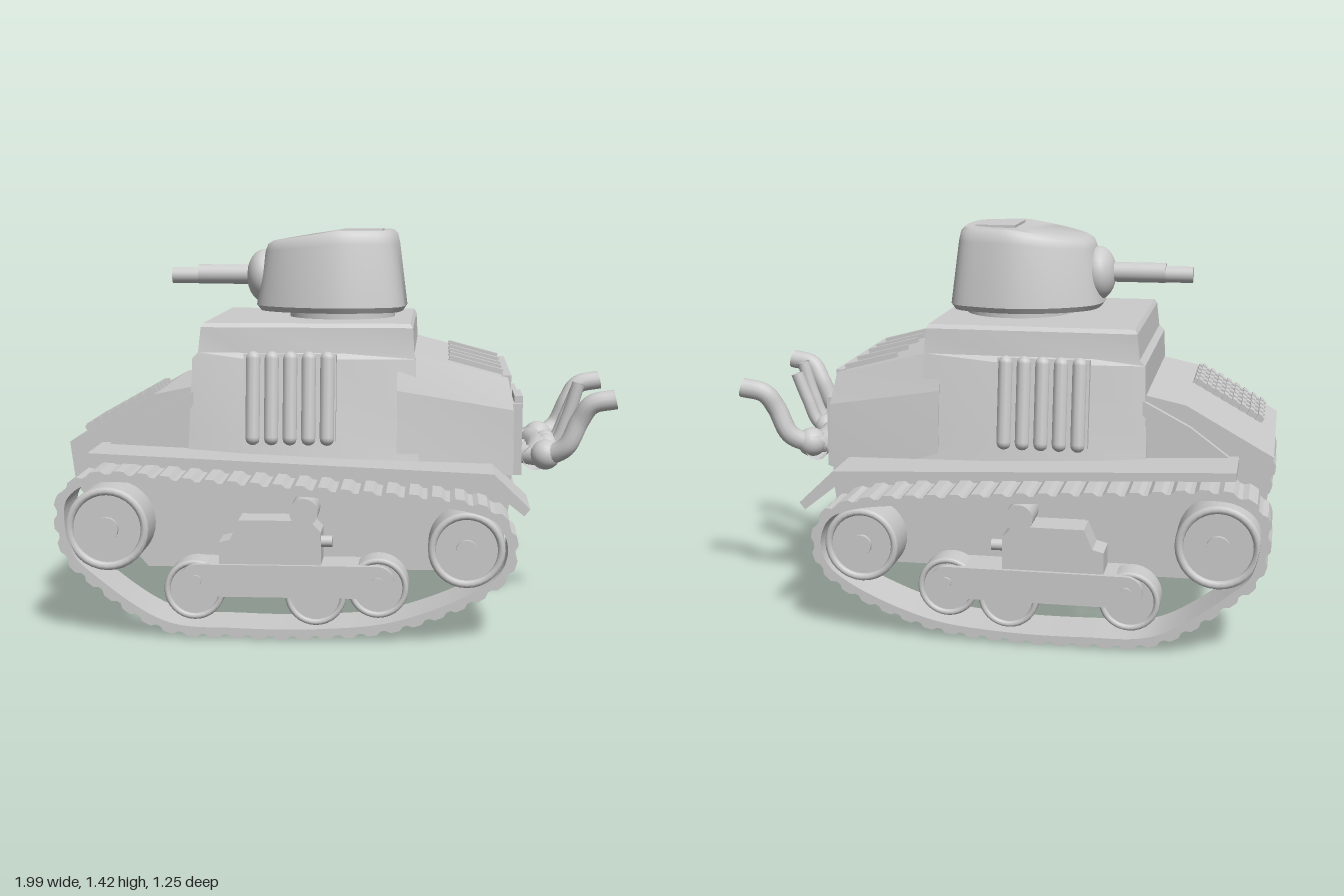
import * as THREE from 'three';
import { toCreasedNormals } from 'three/addons/utils/BufferGeometryUtils.js';

const mat = new THREE.MeshStandardMaterial({ color: 0xcccccc });
const openMat = new THREE.MeshStandardMaterial({ color: 0xcccccc, side: THREE.DoubleSide });
const V = (x, y, z) => new THREE.Vector3(x, y, z);

function add(parent, name, geo, x = 0, y = 0, z = 0, material = mat) {
  const m = new THREE.Mesh(geo, material);
  m.name = name;
  m.position.set(x, y, z);
  parent.add(m);
  return m;
}

// Side profile (x, y) extruded from z0 to z1
function prism(points, z0, z1, hole) {
  const shape = new THREE.Shape(points.map(p => new THREE.Vector2(...p)));
  if (hole) shape.holes.push(new THREE.Path(hole.map(p => new THREE.Vector2(...p))));
  const g = new THREE.ExtrudeGeometry(shape, { depth: z1 - z0, bevelEnabled: false });
  return g.translate(0, 0, z0);
}

// Skin over stacked rings (counterclockwise from above), closed at both ends
function loft(rings, crease = 0.6) {
  const n = rings[0].length, pos = [], index = [];
  rings.forEach(r => r.forEach(p => pos.push(p.x, p.y, p.z)));
  for (let k = 0; k < rings.length - 1; k++) for (let i = 0; i < n; i++) {
    const a = k * n + i, b = k * n + (i + 1) % n;
    index.push(a, b, a + n, b, b + n, a + n);
  }
  [rings[0], rings.at(-1)].forEach((r, e) => {
    const c = r.reduce((s, p) => s.add(p), V(0, 0, 0)).divideScalar(n);
    const ci = pos.length / 3, o = e ? (rings.length - 1) * n : 0;
    pos.push(c.x, c.y, c.z);
    for (let i = 0; i < n; i++) {
      const a = o + i, b = o + (i + 1) % n;
      index.push(...(e ? [ci, a, b] : [ci, b, a]));
    }
  });
  const g = new THREE.BufferGeometry();
  g.setAttribute('position', new THREE.Float32BufferAttribute(pos, 3));
  g.setIndex(index);
  return toCreasedNormals(g, crease);
}

// Ring symmetric in z from [x, y, halfWidth] points listed back to front
const ring = pts => [...pts.map(([x, y, w]) => V(x, y, -w)), ...pts.map(([x, y, w]) => V(x, y, w)).reverse()];
const discZ = (r, d, seg = 32) => new THREE.CylinderGeometry(r, r, d, seg).rotateX(Math.PI / 2);
const rodX = (r, d) => new THREE.CylinderGeometry(r, r, d, 20).rotateZ(Math.PI / 2);
const tube = (pts, r) =>
  new THREE.TubeGeometry(new THREE.CatmullRomCurve3(pts.map(p => V(...p))), 32, r, 12);

function buildHull(g) {
  add(g, 'hull', prism([[-0.99, 0.66], [-0.97, 0.5], [-0.71, 0.2], [0.57, 0.2], [0.61, 0.5], [0.61, 0.62],
    [0.2, 0.62], [-0.5, 0.62], [-0.54, 0.865], [-0.68, 0.835]], -0.39, 0.38));

  // Casemate walls lean in and bulge outwards amidships
  const wall = (y, front, back, end, mid) =>
    ring([[back, y, end], [0, y, mid], [-0.35, y, mid], [front, y, end]]);
  add(g, 'casemate', loft([wall(0.6, -0.55, 0.28, 0.445, 0.475), wall(0.7, -0.545, 0.275, 0.425, 0.455),
    wall(0.97, -0.535, 0.265, 0.395, 0.41), wall(0.99, -0.515, 0.26, 0.39, 0.395),
    wall(1.08, -0.505, 0.255, 0.385, 0.385), wall(1.095, -0.495, 0.245, 0.375, 0.375)], 0.3));

  // Engine deck with sloping shoulders
  add(g, 'engineDeck', loft([ring([[0.615, 0.56, 0.41], [0.2, 0.56, 0.455]]),
    ring([[0.615, 0.79, 0.395], [0.2, 0.86, 0.42]]), ring([[0.595, 0.9, 0.365], [0.2, 1.005, 0.385]])], 0.1));

  for (const s of [1, -1]) {
    const side = new THREE.Group();
    side.name = s > 0 ? 'leftSide' : 'rightSide';
    g.add(side);
    const slab = (name, pts, a, b) =>
      add(side, name, prism(pts, Math.min(a * s, b * s), Math.max(a * s, b * s)));
    slab('frontCheek', [[-0.86, 0.64], [-0.53, 0.62], [-0.53, 0.85], [-0.7, 0.76]], 0.36, 0.415);
    slab('fender', [[-0.87, 0.63], [0.5, 0.57], [0.645, 0.455], [0.665, 0.48], [0.54, 0.6], [-0.87, 0.66]], 0.37, 0.625);
    // Upright ribs leaning with the casemate wall
    for (let i = 0; i < 5; i++) {
      const rib = add(side, 'sideRib', new THREE.CapsuleGeometry(0.027, 0.28, 4, 10),
        -0.31 + i * 0.066, 0.835, 0.455 * s);
      rib.rotation.x = -0.15 * s;
    }
    const backing = add(side, 'ribBacking', new THREE.BoxGeometry(0.33, 0.31, 0.05), -0.18, 0.835, 0.435 * s);
    backing.rotation.x = -0.15 * s;
  }

  // Toothed grille strips on the sloping nose plate
  const grille = new THREE.Group();
  grille.name = 'noseGrille';
  grille.position.set(-0.81, 0.768, 0.17);
  grille.rotation.z = 0.51;
  g.add(grille);
  for (let i = 0; i < 5; i++) {
    const z = (i - 2) * 0.068;
    add(grille, 'grilleStrip', new THREE.BoxGeometry(0.3, 0.03, 0.03), 0, 0, z);
    for (let k = 0; k < 8; k++)
      add(grille, 'grilleTooth', new THREE.BoxGeometry(0.018, 0.04, 0.045), -0.13 + k * 0.037, 0, z);
  }

  // Rear deck ridges and rear plate
  for (const z of [-0.3, -0.14, 0.02, 0.13, 0.27]) {
    const rib = add(g, 'deckRidge', new THREE.BoxGeometry(0.2, 0.03, 0.025), 0.48, 0.934, z);
    rib.rotation.z = -0.26;
  }
  add(g, 'deckEdge', new THREE.BoxGeometry(0.03, 0.05, 0.66), 0.592, 0.883, 0);
  add(g, 'rearPlate', new THREE.BoxGeometry(0.06, 0.26, 0.62), 0.62, 0.67, -0.01);
  add(g, 'rearHatch', new THREE.BoxGeometry(0.03, 0.13, 0.2), 0.638, 0.76, 0.17);
  add(g, 'rearLip', new THREE.BoxGeometry(0.04, 0.03, 0.78), 0.6, 0.505, 0);
}

function buildExhaust(g) {
  const ex = new THREE.Group();
  ex.name = 'exhaust';
  g.add(ex);
  add(ex, 'manifold', tube([[0.7, 0.59, 0.24], [0.72, 0.61, 0.1], [0.71, 0.6, -0.1], [0.71, 0.59, -0.28]], 0.045), 0, 0, 0, openMat);
  for (const s of [1, -1]) {
    add(ex, 'mainPipe', tube([[0.64, 0.6, 0.17 * s], [0.73, 0.6, 0.23 * s], [0.81, 0.64, 0.275 * s],
      [0.86, 0.74, 0.28 * s], [0.9, 0.8, 0.295 * s], [0.985, 0.82, 0.3 * s]], 0.036), 0, 0, 0, openMat);
    add(ex, 'pipeElbow', new THREE.SphereGeometry(0.055, 20, 14), 0.74, 0.605, 0.235 * s);
  }
  for (const [z, top] of [[0.08, 0.85], [0, 0.82]]) {
    add(ex, 'smallPipe', tube([[0.67, 0.6, z * 0.8], [0.78, 0.62, z], [0.83, 0.72, z], [0.87, top, z]], 0.024), 0, 0, 0, openMat);
    add(ex, 'smallElbow', new THREE.SphereGeometry(0.045, 16, 12), 0.755, 0.615, z);
  }
}

function buildTurret(g) {
  const t = new THREE.Group();
  t.name = 'turret';
  g.add(t);
  add(t, 'turretRing', new THREE.CylinderGeometry(0.2, 0.2, 0.06, 40), -0.02, 1.11, 0);
  // Plan outline: broad rounded back, tapering to a blunt nose
  const half = [[0.22, -0.1], [0.19, -0.2], [0.1, -0.245], [-0.04, -0.268], [-0.2, -0.225], [-0.31, -0.14], [-0.34, -0.06]];
  const outline = [...half, ...half.map(([x, z]) => [x, -z]).reverse()];
  const plan = new THREE.CatmullRomCurve3(outline.map(([x, z]) => V(x, 0, z)), true).getPoints(56).slice(0, -1);
  const level = (y, s, slope) => plan.map(p => {
    const x = -0.03 + (p.x + 0.03) * s;
    return V(x, y - slope * Math.max(0, -x - 0.02), p.z * s);
  });
  add(t, 'turretShell', loft([level(1.12, 0.95, 0), level(1.14, 1, 0), level(1.37, 0.89, 0.1),
    level(1.405, 0.86, 0.14), level(1.42, 0.8, 0.16)], 0.7));
  add(t, 'roofHatch', new THREE.BoxGeometry(0.15, 0.01, 0.22), 0.06, 1.418, 0.03);
  const mantlet = add(t, 'mantlet', new THREE.SphereGeometry(0.1, 24, 16), -0.32, 1.245, -0.01);
  mantlet.scale.set(0.65, 1, 1);
  add(t, 'gunSleeve', rodX(0.037, 0.22), -0.46, 1.25, -0.01);
  add(t, 'gunBarrel', rodX(0.03, 0.2), -0.57, 1.245, -0.01);
}

function buildRunningGear(g, s) {
  const gear = new THREE.Group();
  gear.name = s > 0 ? 'leftRunningGear' : 'rightRunningGear';
  g.add(gear);
  const zc = 0.525 * s;

  // Track band with raised cleats
  const path = [[-0.96, 0.5], [-0.97, 0.4], [-0.94, 0.29], [-0.87, 0.22], [-0.61, 0.05], [-0.35, 0.028], [-0.05, 0.03],
    [0.2, 0.06], [0.48, 0.17], [0.58, 0.25], [0.605, 0.34], [0.57, 0.43], [0.48, 0.475], [0, 0.52], [-0.5, 0.55], [-0.87, 0.565]];
  const pts = new THREE.CatmullRomCurve3(path.map(p => V(...p, 0)), true, 'centripetal').getSpacedPoints(230).slice(0, -1);
  const offset = d => pts.map((p, i) => {
    const a = pts.at(i - 1), b = pts[(i + 1) % pts.length];
    const t = b.clone().sub(a).normalize();
    return [p.x + t.y * d(i), p.y - t.x * d(i)];
  });
  add(gear, 'track', prism(offset(i => (i % 5 < 3 ? 0.023 : 0.011)), zc - 0.1, zc + 0.1, offset(() => -0.014)));

  const wheel = (name, x, y, r, w) => {
    add(gear, name, discZ(r, w), x, y, zc);
    add(gear, name + 'Rim', new THREE.TorusGeometry(r * 0.9, r * 0.1, 8, 32), x, y, zc + s * w / 2);
    add(gear, name + 'Hub', discZ(r * 0.28, w + 0.03, 16), x, y, zc);
  };
  wheel('driveWheel', -0.815, 0.385, 0.15, 0.13);
  wheel('idlerWheel', 0.45, 0.325, 0.135, 0.13);
  for (const [x, y] of [[-0.51, 0.165], [-0.08, 0.15], [0.14, 0.18]]) wheel('roadWheel', x, y, 0.108, 0.09);
  add(gear, 'driveAxle', discZ(0.035, 0.2, 16), -0.815, 0.385, 0.41 * s);
  add(gear, 'idlerAxle', discZ(0.035, 0.2, 16), 0.45, 0.325, 0.41 * s);

  // Bogie beam with rounded ends, spring housing and return roller
  add(gear, 'bogieBeam', new THREE.BoxGeometry(0.64, 0.115, 0.15), -0.18, 0.205, zc);
  for (const x of [-0.5, 0.14]) {
    add(gear, 'beamEnd', discZ(0.0575, 0.15, 20), x, 0.205, zc);
    add(gear, 'beamBolt', discZ(0.02, 0.17, 12), x, 0.205, zc);
  }
  add(gear, 'springHousing', prism([[-0.42, 0.24], [-0.06, 0.24], [-0.06, 0.38], [-0.1, 0.42], [-0.35, 0.42], [-0.38, 0.35], [-0.42, 0.34]],
    zc - 0.06, zc + 0.06));
  add(gear, 'springRod', rodX(0.02, 0.12), -0.08, 0.345, zc + 0.04 * s);
  add(gear, 'bogieMount', new THREE.BoxGeometry(0.22, 0.16, 0.16), -0.22, 0.32, 0.43 * s);
  add(gear, 'returnRoller', discZ(0.05, 0.13, 20), -0.12, 0.45, zc);
  add(gear, 'rollerAxle', discZ(0.025, 0.24, 12), -0.12, 0.45, 0.46 * s);
}

export function createModel() {
  const model = new THREE.Group();
  model.name = 'tank';
  buildHull(model);
  buildExhaust(model);
  buildTurret(model);
  for (const s of [1, -1]) buildRunningGear(model, s);
  return model;
}
